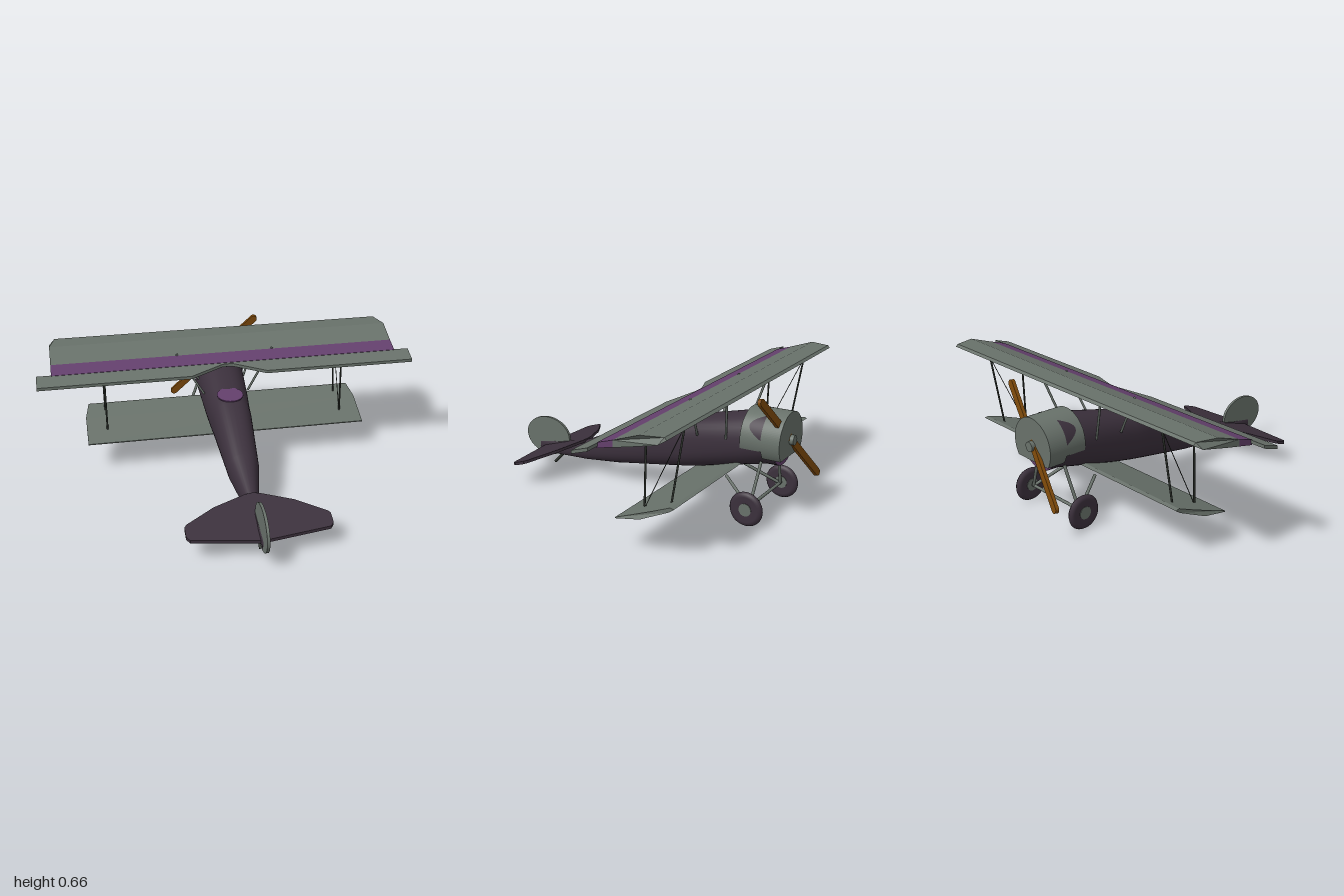
import * as THREE from 'three';
import { ParametricGeometry } from 'three/addons/geometries/ParametricGeometry.js';

const mat = (name, color, side = THREE.FrontSide) => {
  const m = new THREE.MeshStandardMaterial({ color, side });
  m.name = name;
  return m;
};

export function createModel() {
  const model = new THREE.Group();
  const grey = mat('grey green', 0x68716a);
  const dark = mat('dark plum', 0x3b303c, THREE.DoubleSide);
  const purple = mat('purple', 0x633f6c, THREE.DoubleSide);
  const wood = mat('wood', 0x7d490a);
  const strutDark = mat('strut dark', 0x30352f);

  const add = (name, geo, material, parent = model) => {
    const mesh = new THREE.Mesh(geo, material);
    mesh.name = name;
    parent.add(mesh);
    return mesh;
  };
  const shapeOf = pts => new THREE.Shape(pts.map(p => new THREE.Vector2(...p)));

  // Round rod between two points
  const rod = (name, a, b, r, material) => {
    const A = new THREE.Vector3(...a), B = new THREE.Vector3(...b);
    const m = add(name, new THREE.CylinderGeometry(r, r, A.distanceTo(B), 8), material);
    m.position.copy(A).add(B).multiplyScalar(0.5);
    m.quaternion.setFromUnitVectors(new THREE.Vector3(0, 1, 0), B.sub(A).normalize());
    return m;
  };

  // Wing panel: (z, y) section stretched across x, with clipped front corners
  const wing = (name, section, half, material, clipZ = -9, clip = 0) => {
    const g = new THREE.ExtrudeGeometry(shapeOf(section), { depth: 2 * half, bevelEnabled: false });
    g.rotateY(-Math.PI / 2).translate(half, 0, 0);
    const p = g.attributes.position;
    for (let i = 0; i < p.count; i++)
      if (p.getZ(i) < clipZ) p.setX(i, Math.sign(p.getX(i)) * (half - clip));
    g.computeVertexNormals();
    return add(name, g, material);
  };

  // Thin plate: right half of an (x, z) outline, mirrored, its height set by z
  const plate = (name, halfPts, thick, yAt, material) => {
    const mirrored = halfPts.filter(p => p[0] > 0).reverse().map(([x, z]) => [-x, z]);
    const g = new THREE.ExtrudeGeometry(shapeOf([...halfPts, ...mirrored]), { depth: thick, bevelEnabled: false });
    g.rotateX(Math.PI / 2);
    const p = g.attributes.position;
    for (let i = 0; i < p.count; i++) p.setY(i, p.getY(i) + yAt(p.getZ(i)));
    g.computeVertexNormals();
    return add(name, g, material);
  };

  // Fuselage: [z, half width, bottom, top, squareness]
  const stations = [
    [0.735, 0.010, 0.06, 0.13, 1], [0.6, 0.016, 0.065, 0.145, 1], [0.42, 0.036, 0.073, 0.185, 0.9],
    [0.2, 0.08, 0.10, 0.285, 0.85], [-0.115, 0.104, 0.15, 0.42, 0.8], [-0.2, 0.11, 0.165, 0.422, 0.8],
    [-0.3, 0.118, 0.185, 0.452, 0.8], [-0.55, 0.133, 0.24, 0.512, 0.9], [-0.67, 0.134, 0.265, 0.532, 1],
    [-0.73, 0.134, 0.266, 0.534, 1]
  ];
  const N = 32, pos = [], idx = [];
  const pw = (v, e) => Math.sign(v) * Math.abs(v) ** e;
  stations.forEach(([z, w, b, t, e], s) => {
    for (let i = 0; i < N; i++) {
      const a = i / N * Math.PI * 2;
      pos.push(w * pw(Math.cos(a), e), (b + t) / 2 + (t - b) / 2 * pw(Math.sin(a), e), z);
      if (s) {
        const j = (i + 1) % N, p = (s - 1) * N, q = s * N;
        idx.push(p + i, q + i, p + j, p + j, q + i, q + j);
      }
    }
  });
  for (let i = 1; i < N - 1; i++) idx.push(0, i, i + 1);
  const body = new THREE.BufferGeometry();
  body.setAttribute('position', new THREE.Float32BufferAttribute(pos, 3));
  body.setIndex(idx);
  body.computeVertexNormals();
  add('fuselage', body, dark);
  add('lowerNoseFace', new THREE.CircleGeometry(0.133, 32).rotateY(Math.PI).translate(0, 0.4, -0.731), purple);

  // Cockpit opening
  const cockpit = add('cockpit', new THREE.CylinderGeometry(1, 1, 0.006, 32), purple);
  cockpit.scale.set(0.07, 1, 0.07);
  cockpit.position.set(0, 0.427, -0.187);
  cockpit.rotation.x = 0.08;

  // Cowling: drums with the lower segment cut away
  const cowl = (name, z0, z1, cut) => {
    const r = 0.139, a = Math.asin(cut / r), s = new THREE.Shape();
    s.absarc(0, 0, r, a, Math.PI - a, false);
    const g = new THREE.ExtrudeGeometry(s, { depth: z1 - z0, bevelEnabled: false, curveSegments: 40 });
    add(name, g.translate(0, 0.4, z0), grey);
  };
  cowl('frontCowling', -0.767, -0.67, -0.08);
  cowl('rearCowling', -0.67, -0.56, -0.04);
  for (const s of [1, -1]) {
    add('cowlingOpening', new ParametricGeometry((u, v, t) => {
      const a = 0.12 + 0.95 * u;
      t.set(s * 0.141 * Math.cos(a), 0.4 + 0.141 * Math.sin(a), -0.67 + 0.07 * v * Math.sin(Math.PI * u));
    }, 16, 2), dark);
  }
  add('propellerHub', new THREE.CylinderGeometry(0.025, 0.025, 0.04, 20).rotateX(Math.PI / 2).translate(0, 0.4, -0.768), grey);

  // Propeller: slim rounded blade, tilted
  const blade = new THREE.Shape();
  blade.absarc(0, 0.33, 0.019, 0, Math.PI, false);
  blade.absarc(0, -0.33, 0.019, Math.PI, Math.PI * 2, false);
  const prop = add('propeller', new THREE.ExtrudeGeometry(blade, { depth: 0.018, bevelEnabled: false }).translate(0, 0, -0.009), wood);
  const up = new THREE.Vector3(0.475, 0.49, 0.115).normalize();
  const side = new THREE.Vector3().crossVectors(up, new THREE.Vector3(0, 0, 1)).normalize();
  prop.quaternion.setFromRotationMatrix(new THREE.Matrix4().makeBasis(side, up, new THREE.Vector3().crossVectors(side, up)));
  prop.position.set(0, 0.402, -0.762);

  // Upper wing, purple band and trailing strip
  wing('upperWing', [[-0.35, 0.603], [-0.48, 0.648], [-0.585, 0.648], [-0.597, 0.636], [-0.57, 0.62], [-0.42, 0.585], [-0.35, 0.57]],
    0.923, grey, -0.575, 0.03);
  wing('wingBand', [[-0.27, 0.578], [-0.35, 0.603], [-0.35, 0.57], [-0.27, 0.553]], 0.923, purple);
  plate('upperTrailingEdge', [[0, -0.275], [1, -0.275], [1, -0.19], [0.2, -0.19], [0.03, -0.26], [0, -0.262]], 0.016,
    z => 0.578 - (z + 0.275) * 0.31, grey);

  // Lower wing
  wing('lowerWing', [[-0.25, 0.166], [-0.43, 0.232], [-0.525, 0.265], [-0.545, 0.26], [-0.52, 0.242], [-0.38, 0.184], [-0.25, 0.161]],
    0.76, grey, -0.515, 0.02);

  // Struts, wires and undercarriage, mirrored
  for (const s of [1, -1]) {
    rod('wingStrut', [s * 0.65, 0.59, -0.35], [s * 0.65, 0.2, -0.34], 0.005, strutDark);
    rod('wingStrut', [s * 0.65, 0.62, -0.545], [s * 0.65, 0.24, -0.48], 0.005, strutDark);
    rod('wingWire', [s * 0.65, 0.61, -0.54], [s * 0.65, 0.2, -0.345], 0.002, strutDark);
    rod('cabaneStrut', [s * 0.26, 0.608, -0.355], [s * 0.12, 0.38, -0.32], 0.006, grey);
    rod('cabaneStrut', [s * 0.22, 0.62, -0.53], [s * 0.125, 0.39, -0.48], 0.006, grey);

    const tyre = [[0.03, -0.014], [0.065, -0.016], [0.08, -0.013], [0.088, 0], [0.08, 0.013], [0.065, 0.016], [0.03, 0.014]];
    const wheel = new THREE.Group();
    wheel.name = 'wheel';
    wheel.position.set(s * 0.21, 0.088, -0.64);
    wheel.rotation.z = Math.PI / 2;
    model.add(wheel);
    add('tyre', new THREE.LatheGeometry(tyre.map(p => new THREE.Vector2(...p)), 36), dark, wheel);
    add('wheelHub', new THREE.CylinderGeometry(0.032, 0.032, 0.034, 24), grey, wheel);
    rod('frontGearLeg', [s * 0.18, 0.09, -0.643], [s * 0.1, 0.3, -0.66], 0.008, grey);
    rod('rearGearLeg', [s * 0.18, 0.09, -0.635], [s * 0.1, 0.19, -0.475], 0.008, grey);
  }
  rod('axle', [-0.21, 0.088, -0.64], [0.21, 0.088, -0.64], 0.008, grey);

  // Tail
  plate('tailplane', [[0, 0.42], [0.035, 0.425], [0.2, 0.485], [0.345, 0.57], [0.357, 0.585], [0.357, 0.64], [0.34, 0.662], [0, 0.705]],
    0.016, z => 0.192 - (z - 0.42) * 0.31, dark);
  const rudder = add('rudder', new THREE.CylinderGeometry(1, 1, 0.014, 40).rotateZ(Math.PI / 2), grey);
  rudder.scale.set(1, 0.108, 0.143);
  rudder.position.set(0, 0.163, 0.682);
  rod('tailSkid', [0, 0.08, 0.58], [0, 0.015, 0.643], 0.008, strutDark);

  return model;
}
